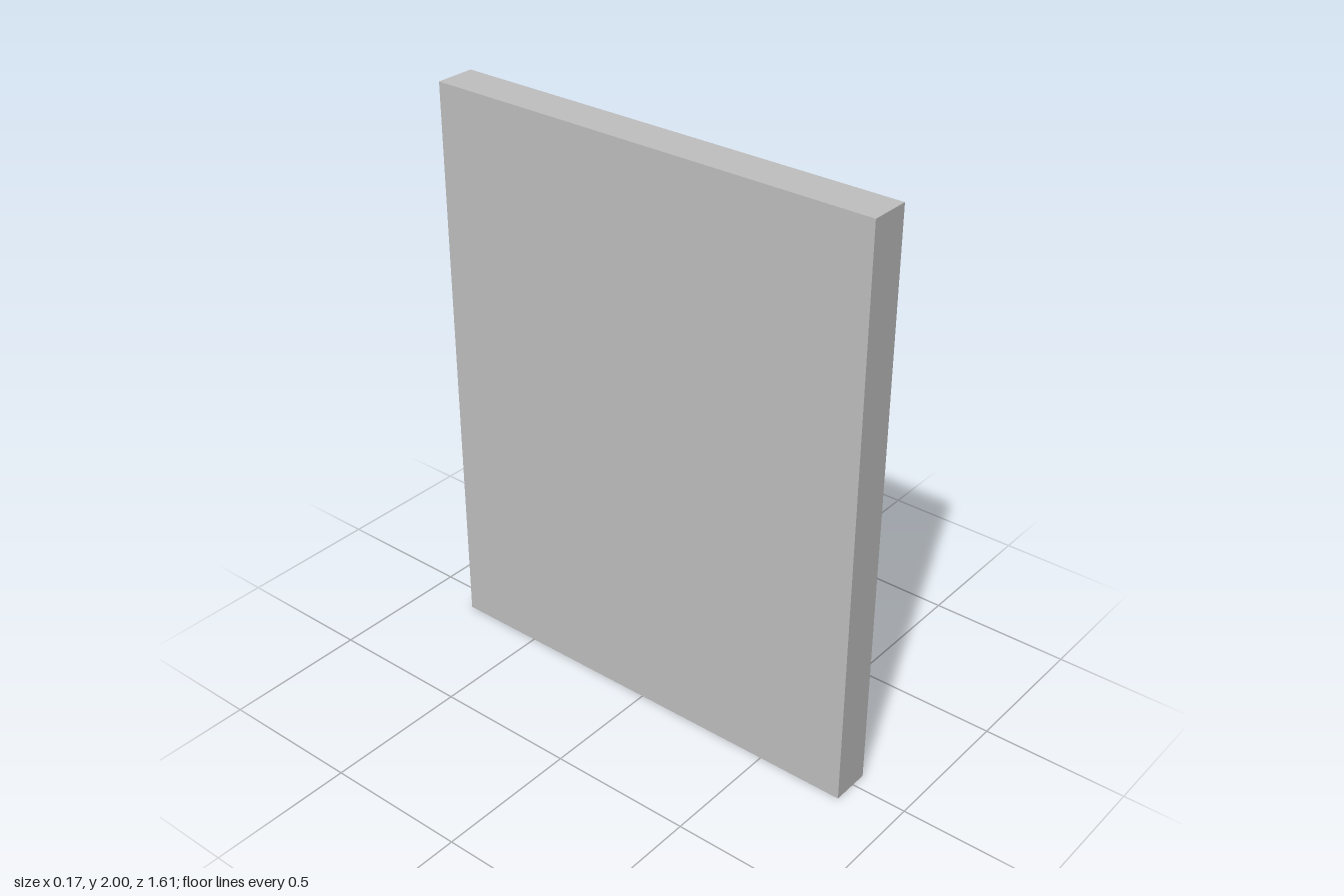
import * as THREE from 'three';

// Slab-shaped device facing +x: back panel, frame around a sunken screen, three buttons
const BACK = -0.084, RECESS = -0.014, FACE = 0.055, BUTTON = 0.083;
const HALF_WIDTH = 0.806, HEIGHT = 2;

export function createModel() {
  const group = new THREE.Group();
  const grey = new THREE.MeshStandardMaterial({ color: 0xc0c0c0 });
  grey.name = 'light grey';

  const add = (name, geometry) => {
    const mesh = new THREE.Mesh(geometry, grey);
    mesh.name = name;
    group.add(mesh);
  };

  // Box given by its limits on each axis
  const box = (name, x0, x1, y0, y1, z0, z1) => add(name,
    new THREE.BoxGeometry(x1 - x0, y1 - y0, z1 - z0)
      .translate((x0 + x1) / 2, (y0 + y1) / 2, (z0 + z1) / 2));

  const rectangle = (path, w, y0, y1) => path
    .moveTo(-w, y0).lineTo(w, y0).lineTo(w, y1).lineTo(-w, y1).closePath();

  // Back panel, whose inner face is the floor of the screen recess
  box('backPanel', BACK, RECESS, 0, HEIGHT, -HALF_WIDTH, HALF_WIDTH);

  // Front frame with the screen opening
  const outline = new THREE.Shape();
  rectangle(outline, HALF_WIDTH, 0, HEIGHT);
  const opening = new THREE.Path();
  rectangle(opening, 0.738, 0.417, 1.932);
  outline.holes.push(opening);
  add('screenFrame', new THREE.ExtrudeGeometry(outline, { depth: FACE - RECESS, bevelEnabled: false })
    .rotateY(Math.PI / 2).translate(RECESS, 0, 0));

  // Raised buttons below the screen
  [
    ['wideButtonLeft', 0.292, 0.579],
    ['wideButtonMiddle', -0.136, 0.149],
    ['smallButton', -0.563, -0.422],
  ].forEach(([name, z0, z1]) => box(name, FACE, BUTTON, 0.146, 0.287, z0, z1));

  return group;
}
